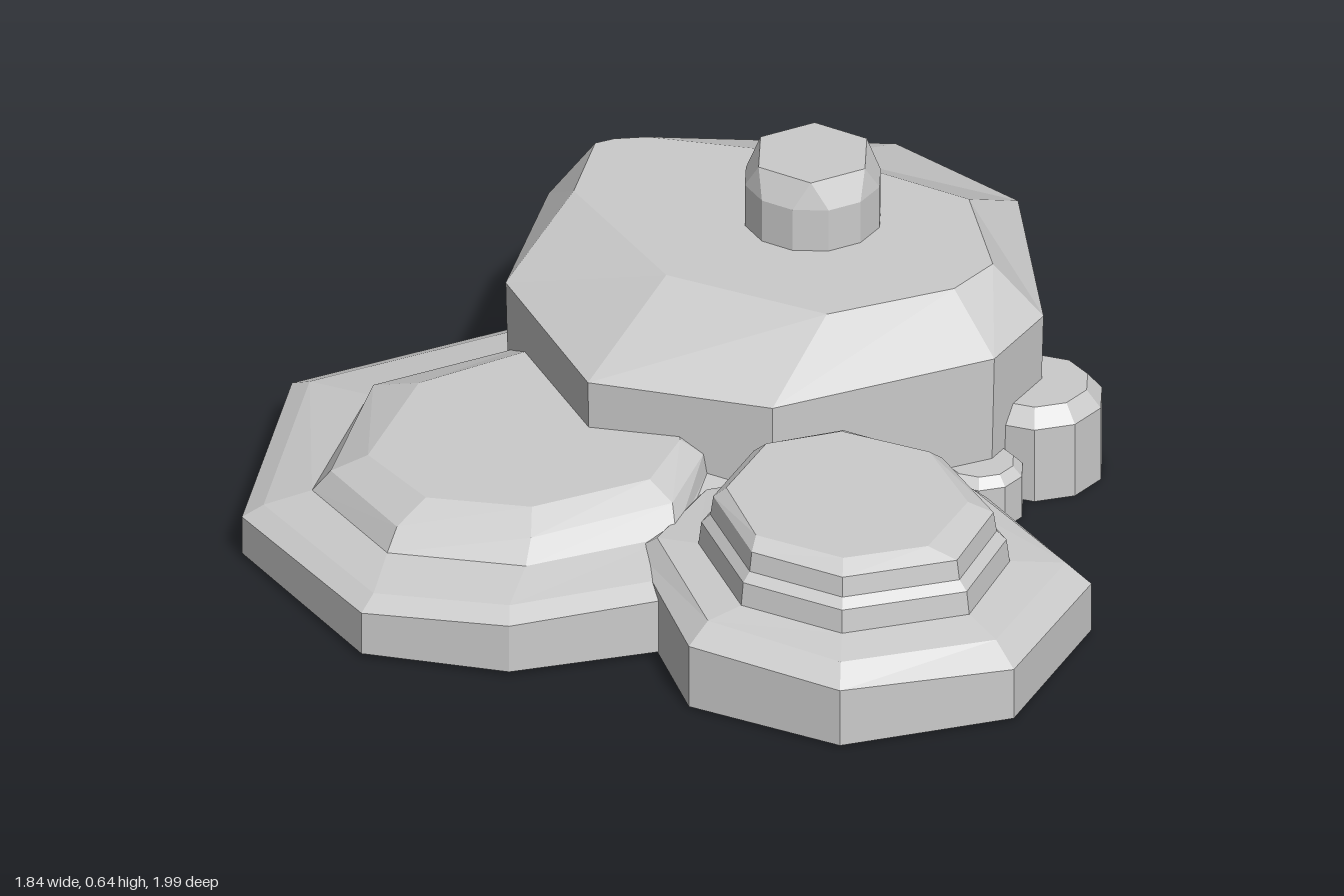
import * as THREE from 'three';

const material = new THREE.MeshStandardMaterial({ color: 0xcccccc, flatShading: true, side: THREE.DoubleSide });

// Joins stacked rings of [x, y, z] points (counter-clockwise from above), capped on top, open below.
function loft(name, rings) {
  const pos = [];
  const tri = (a, b, c) => {
    const same = (p, q) => p.every((v, i) => v === q[i]);
    if (!same(a, b) && !same(b, c) && !same(a, c)) pos.push(...a, ...b, ...c);
  };
  const n = rings[0].length;
  for (let r = 0; r < rings.length - 1; r++) {
    for (let i = 0; i < n; i++) {
      const j = (i + 1) % n;
      tri(rings[r][i], rings[r][j], rings[r + 1][j]);
      tri(rings[r][i], rings[r + 1][j], rings[r + 1][i]);
    }
  }
  const top = rings[rings.length - 1];
  const centre = [0, 1, 2].map(k => top.reduce((s, p) => s + p[k], 0) / n);
  for (let i = 0; i < n; i++) tri(top[i], top[(i + 1) % n], centre);
  const geo = new THREE.BufferGeometry();
  geo.setAttribute('position', new THREE.Float32BufferAttribute(pos, 3));
  geo.computeVertexNormals();
  const mesh = new THREE.Mesh(geo, material);
  mesh.name = name;
  return mesh;
}

// Lifts a plan outline to height y, tilted along x about x0.
const ring = (plan, y, tilt = 0, x0 = 0) => plan.map(([x, z]) => [x, y + tilt * (x - x0), z]);

// Regular outline; step 2 repeats each corner to meet a ring with twice the sides.
function circle(cx, cz, r, n, offset = 0, step = 1) {
  return Array.from({ length: n }, (_, i) => {
    const a = offset + Math.floor(i / step) * step * Math.PI * 2 / n;
    return [cx + r * Math.cos(a), cz - r * Math.sin(a)];
  });
}

// Shrinks or grows an outline about a point.
const scaled = (plan, k, cx, cz) => plan.map(([x, z]) => [cx + (x - cx) * k, cz + (z - cz) * k]);

export function createModel() {
  const group = new THREE.Group();

  // Largest rock: upright wall, sloped shoulder, flat top
  const bigRim = [[-0.37, -0.36], [-0.18, 0.07], [0.22, 0.17], [0.69, -0.06], [0.79, -0.25],
    [0.72, -0.75], [0.45, -0.99], [0.04, -1], [-0.16, -0.95], [-0.29, -0.75]];
  const bigTop = [[-0.23, -0.57], [-0.02, -0.21], [0.33, -0.05], [0.6, -0.17], [0.68, -0.28],
    [0.62, -0.56], [0.3, -0.74], [-0.08, -0.81], [-0.15, -0.8], [-0.19, -0.78]];
  group.add(loft('largeRock', [
    ring(scaled(bigRim, 0.985, 0.2, -0.4), 0.01), ring(bigRim, 0.37), ring(bigTop, 0.48)]));

  // Knob stone on the largest rock
  const knob = circle(0.287, -0.47, 0.15, 12, Math.PI / 12);
  const knobTop = circle(0.287, -0.47, 0.132, 12, Math.PI / 6, 2);
  group.add(loft('topStone', [ring(knob, 0.46), ring(knob, 0.58), ring(knobTop, 0.64)]));

  // Wide stepped rock
  const wide = [[-0.34, -0.61], [-0.83, -0.38], [-0.92, 0.2], [-0.65, 0.63],
    [-0.33, 0.7], [0.03, 0.59], [0.24, 0.13], [0.12, -0.39]];
  const wideStep = [[-0.32, -0.4], [-0.66, -0.24], [-0.77, 0.17], [-0.6, 0.45],
    [-0.3, 0.52], [0.02, 0.4], [0.08, 0.12], [0.03, -0.24]];
  const wideUpper = [[-0.32, -0.36], [-0.65, -0.2], [-0.73, 0.17], [-0.58, 0.42],
    [-0.29, 0.48], [0.01, 0.34], [0.07, 0.13], [0.02, -0.21]];
  const wideTop = [[-0.32, -0.27], [-0.55, -0.14], [-0.65, 0.17], [-0.52, 0.36],
    [-0.29, 0.41], [-0.04, 0.3], [0.02, 0.13], [-0.02, -0.15]];
  const wt = (plan, y) => ring(plan, y, 0.04, -0.35);
  group.add(loft('wideRock', [
    ring(wide, 0.01), wt(wide, 0.122), wt(scaled(wide, 0.92, -0.34, 0.06), 0.145),
    wt(wideStep, 0.168), wt(wideUpper, 0.215), wt(wideTop, 0.252)]));

  // Front stepped rock
  const front = [[0.37, 0.07], [0.05, 0.2], [-0.07, 0.42], [0.06, 0.83],
    [0.39, 0.99], [0.76, 0.86], [0.915, 0.47], [0.68, 0.12]];
  const frontLedge = [[0.37, 0.1], [0.08, 0.22], [-0.02, 0.44], [0.1, 0.79],
    [0.39, 0.94], [0.72, 0.81], [0.86, 0.46], [0.65, 0.16]];
  const frontStep = [[0.37, 0.13], [0.16, 0.25], [0.07, 0.48], [0.17, 0.74],
    [0.39, 0.84], [0.66, 0.73], [0.74, 0.49], [0.61, 0.24]];
  const frontTop = [[0.37, 0.21], [0.21, 0.28], [0.13, 0.48], [0.2, 0.68],
    [0.39, 0.76], [0.57, 0.69], [0.65, 0.49], [0.56, 0.28]];
  const ft = (plan, y, tilt = -0.04) => ring(plan, y, tilt, 0.4);
  const neck = k => scaled(frontStep, k, 0.39, 0.48);
  group.add(loft('frontRock', [
    ring(front, 0.005), ft(front, 0.14), ft(frontLedge, 0.183), ft(frontStep, 0.197),
    ft(neck(0.98), 0.25), ft(neck(0.92), 0.27), ft(neck(0.9), 0.315), ft(frontTop, 0.338)]));

  // Two pebbles beside the largest rock
  for (const [name, x, z, r, h] of [['pebble', 0.775, -0.24, 0.147, 0.215], ['smallPebble', 0.66, -0.055, 0.095, 0.122]]) {
    const side = circle(x, z, r, 10, Math.PI / 10);
    group.add(loft(name, [ring(side, 0), ring(side, h * 0.82), ring(circle(x, z, r * 0.78, 10, Math.PI / 10), h)]));
  }
  return group;
}
